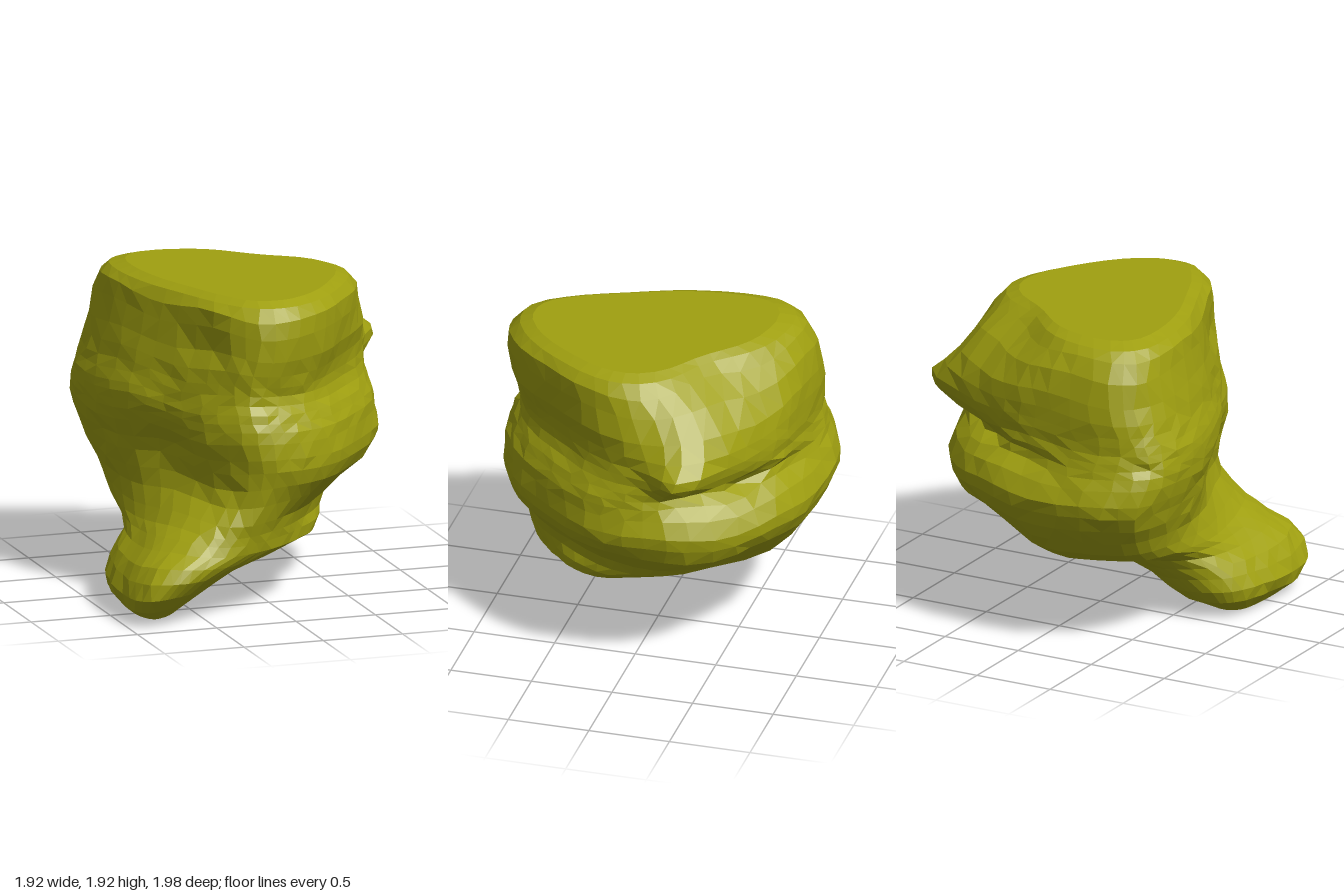
import * as THREE from 'three';

// Plan outlines (x, z) with matching points: rounded foot, triangular belly, crown, sloping cap
const FOOT = [[-.78, -.8], [-.42, -.98], [0, -1], [.35, -.93], [.68, -.78], [.9, -.52], [1, -.22], [.93, .08],
  [.7, .35], [.4, .6], [.03, .82], [-.35, .95], [-.7, .96], [-.95, .65], [-1, .2], [-.95, -.35]];
const BELLY = [[-.79, -.84], [-.58, -.99], [-.18, -.99], [.22, -.92], [.52, -.74], [.78, -.42], [.83, -.1], [.75, .23],
  [.5, .58], [.25, .83], [0, .96], [-.22, .98], [-.42, .78], [-.6, .4], [-.76, 0], [-.84, -.45]];
const CROWN = [[-.69, -.76], [-.55, -.87], [-.2, -.88], [.1, -.84], [.41, -.71], [.68, -.53], [.78, -.24], [.71, .12],
  [.46, .5], [.23, .78], [0, .92], [-.2, .94], [-.38, .75], [-.53, .4], [-.68, 0], [-.75, -.45]];
const CAP = [[-.55, -.54], [-.42, -.64], [-.16, -.62], [.06, -.54], [.27, -.4], [.45, -.22], [.55, 0], [.53, .2],
  [.4, .44], [.22, .66], [.02, .78], [-.16, .76], [-.3, .58], [-.42, .3], [-.53, 0], [-.58, -.32]];

// Extents at each height: y, min x, max x, min z, max z
const LEVELS = [
  [0.005, -.82, -.62, .26, .68], [0.03, -.88, -.56, .17, .77], [0.1, -.94, -.42, .04, .87], [0.18, -.965, -.28, -.02, .96],
  [0.27, -.93, -.14, -.06, 1], [0.35, -.88, .1, -.12, .97], [0.42, -.8, .34, -.2, .92], [0.48, -.75, .41, -.4, .9],
  [0.53, -.73, .45, -.67, .9], [0.6, -.72, .49, -.78, .9], [0.7, -.73, .64, -.86, .91], [0.8, -.77, .79, -.93, .94],
  [0.9, -.8, .85, -.98, .97], [0.98, -.82, .86, -.99, .98], [1.08, -.85, .83, -.95, .98], [1.15, -.86, .82, -.92, .97],
  [1.2, -.86, .81, -.9, .95], [1.25, -.86, .8, -.89, .93], [1.3, -.85, .79, -.88, .9], [1.36, -.83, .79, -.88, .89],
  [1.42, -.81, .79, -.88, .9], [1.5, -.79, .79, -.88, .92], [1.6, -.76, .78, -.88, .94], [1.74, -.73, .73, -.85, .95],
  [1.84, -.71, .69, -.79, .93], [1.9, -.66, .63, -.73, .86], [1.93, -.58, .55, -.64, .78],
];

// Local pushes: centre x, y, z, radius, height radius, push x, push z
const PUSHES = [
  [.74, 1.4, -.42, .2, .13, .21, .03], // side spur
  [.74, 1.2, -.5, .2, .055, -.1, .08], // groove below the spur
  [.45, 1.2, -.75, .22, .06, -.06, .11],
  [.1, 1.18, -.9, .22, .06, 0, .07],
  [.36, 1.88, -.52, .3, .14, -.06, .1], // slope behind the cap
  [-.5, 1.64, .62, .2, .1, .04, -.03], // hollows on the front
  [-.65, .98, .3, .22, .16, .05, -.03],
];

const SEGMENTS = 40;
const { clamp, lerp, smoothstep, mapLinear } = THREE.MathUtils;

const hash = (a, b) => {
  const s = Math.sin(a * 12.99 + b * 78.23) * 43758.55;
  return s - Math.floor(s) - 0.5;
};

function crossSection([y, x0, x1, z0, z1], row) {
  const belly = smoothstep(y, 0.3, 0.8);
  const crown = smoothstep(y, 1.15, 1.45);
  const cap = clamp((y - 1.5) / 0.4, 0, 1);
  const mix = (i, k) =>
    lerp(lerp(lerp(FOOT[i][k], BELLY[i][k], belly), CROWN[i][k], crown), CAP[i][k], cap);
  const curve = new THREE.CatmullRomCurve3(
    BELLY.map((_, i) => new THREE.Vector3(mix(i, 0), 0, mix(i, 1))), true);
  const ring = Array.from({ length: SEGMENTS }, (_, i) =>
    curve.getPoint((i + 0.5 + hash(i, row) * 0.35) / SEGMENTS));
  const box = new THREE.Box3().setFromPoints(ring);
  // Gentle waves keep the facets from lining up in level bands
  const wave = y > 0.05 && y < 1.88 ? 0.018 : 0;
  ring.forEach((p, i) => {
    p.x = mapLinear(p.x, box.min.x, box.max.x, x0, x1);
    p.z = mapLinear(p.z, box.min.z, box.max.z, z0, z1);
    const { x, z } = p;
    p.y = y + wave * Math.sin(6 * x + 5 * z + 4 * y);
    const dent = wave * hash(i + 7, row);
    p.x -= dent * x;
    p.z -= dent * z;
    for (const [cx, cy, cz, r, ry, dx, dz] of PUSHES) {
      const w = Math.exp(-((x - cx) ** 2 + (z - cz) ** 2) / (r * r) - ((p.y - cy) / ry) ** 2);
      p.x += dx * w;
      p.z += dz * w;
    }
  });
  return ring;
}

function boulderGeometry() {
  const points = LEVELS.flatMap(crossSection);
  const index = [];
  const n = SEGMENTS;
  for (let r = 0; r < LEVELS.length - 1; r++) {
    for (let i = 0; i < n; i++) {
      const j = (i + 1) % n;
      const a = r * n + i, b = r * n + j, c = a + n, d = b + n;
      // Split each quad along its shorter diagonal
      if (points[a].distanceTo(points[d]) > points[b].distanceTo(points[c])) index.push(a, c, b, b, c, d);
      else index.push(a, c, d, a, d, b);
    }
  }
  // Flat underside and flat top
  const addCap = (start, up) => {
    const centre = points.slice(start, start + n)
      .reduce((s, p) => s.add(p), new THREE.Vector3()).divideScalar(n);
    points.push(centre);
    for (let i = 0; i < n; i++) {
      const a = start + i, b = start + (i + 1) % n;
      index.push(points.length - 1, up ? b : a, up ? a : b);
    }
  };
  addCap(0, false);
  addCap((LEVELS.length - 1) * n, true);
  const geometry = new THREE.BufferGeometry().setFromPoints(points);
  geometry.setIndex(index);
  geometry.computeVertexNormals();
  return geometry;
}

export function createModel() {
  const model = new THREE.Group();
  model.name = 'rock';
  const material = new THREE.MeshStandardMaterial({ color: 0xa0a010, flatShading: true });
  const boulder = new THREE.Mesh(boulderGeometry(), material);
  boulder.name = 'boulder';
  model.add(boulder);
  return model;
}
